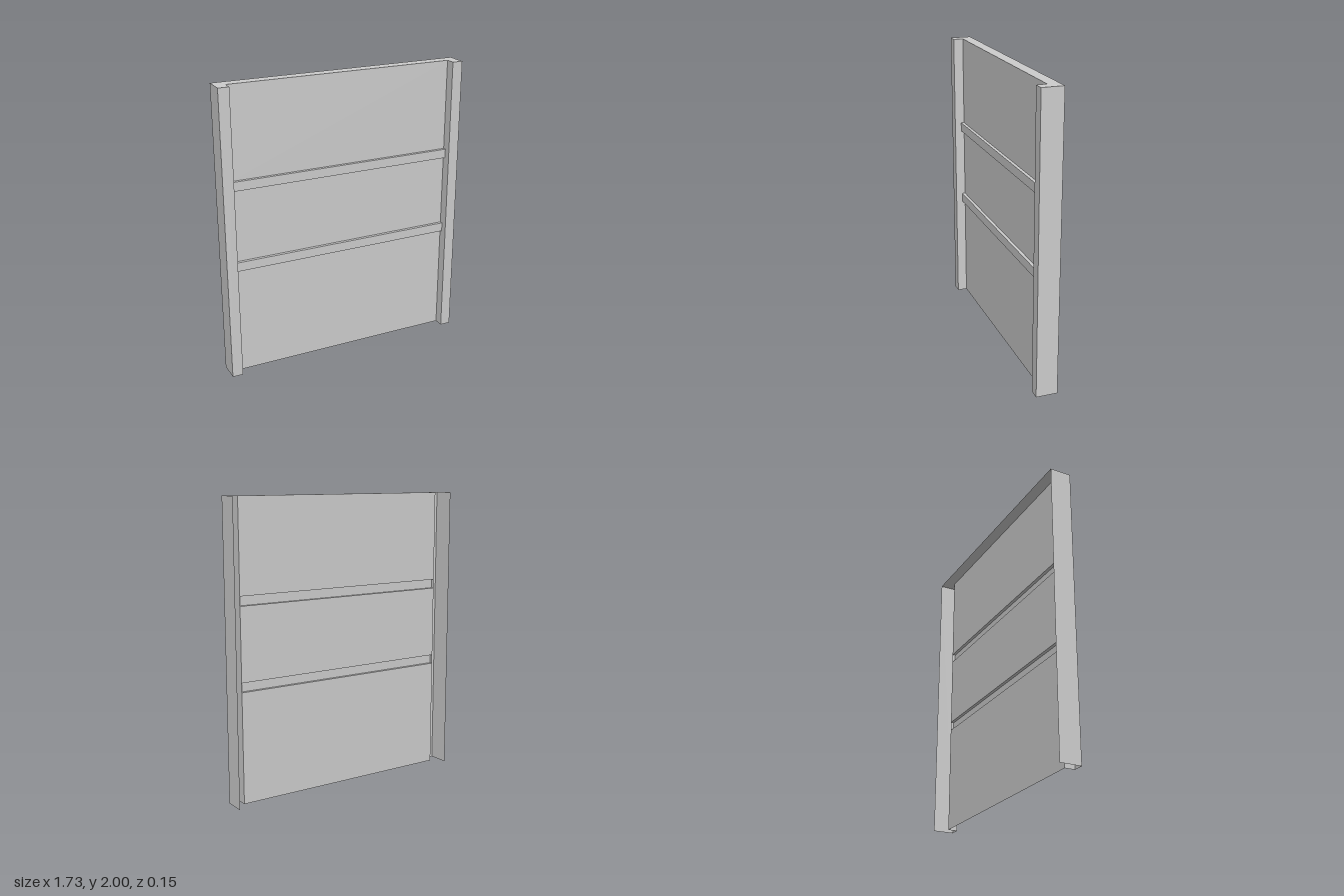
import * as THREE from 'three';

const HEIGHT = 2, OUTER = 0.866, INNER = 0.792;
const BACK = -0.073, FRONT = 0.073, PANEL = 0.005, RIB = 0.027;
const RIBS = [[0.752, 0.815], [1.312, 1.375]]; // bottom and top of each rib

const material = new THREE.MeshStandardMaterial({
  color: 0xcccccc, flatShading: true, side: THREE.DoubleSide,
});

// Folded sheet: sweeps an open profile straight along the line from a to b
function foldedSheet(name, profile, place, a, b) {
  const positions = [];
  for (let i = 0; i < profile.length - 1; i++) {
    const p = place(profile[i], a), q = place(profile[i + 1], a);
    const r = place(profile[i + 1], b), s = place(profile[i], b);
    positions.push(...p, ...q, ...r, ...p, ...r, ...s);
  }
  const geometry = new THREE.BufferGeometry();
  geometry.setAttribute('position', new THREE.Float32BufferAttribute(positions, 3));
  geometry.computeVertexNormals();
  const mesh = new THREE.Mesh(geometry, material);
  mesh.name = name;
  return mesh;
}

export function createModel() {
  const group = new THREE.Group();
  group.name = 'ribbedPanel';

  // Front sheet with two pressed ribs, open behind; profile in [y, z]
  const face = [[0, PANEL]];
  for (const [low, high] of RIBS) {
    face.push([low, PANEL], [low, RIB], [high, RIB], [high, PANEL]);
  }
  face.push([HEIGHT, PANEL]);
  group.add(foldedSheet('frontSheet', face, ([y, z], x) => [x, y, z], -INNER, INNER));

  // Side posts: folded channels, open behind and below; profile in [x, z]
  for (const [side, name] of [[1, 'leftPost'], [-1, 'rightPost']]) {
    const post = [[OUTER, BACK], [OUTER, FRONT], [INNER, FRONT], [INNER, PANEL]]
      .map(([x, z]) => [side * x, z]);
    // Run direction is swapped per side so the folds face outward
    const [a, b] = side > 0 ? [HEIGHT, 0] : [0, HEIGHT];
    group.add(foldedSheet(name, post, ([x, z], y) => [x, y, z], a, b));
  }

  // Top flange follows the plan outline
  const outline = [
    [-OUTER, BACK], [OUTER, BACK], [OUTER, FRONT], [INNER, FRONT],
    [INNER, PANEL], [-INNER, PANEL], [-INNER, FRONT], [-OUTER, FRONT],
  ].map(([x, z]) => new THREE.Vector2(x, -z));
  const top = new THREE.Mesh(new THREE.ShapeGeometry(new THREE.Shape(outline)), material);
  top.name = 'topFlange';
  top.rotation.x = -Math.PI / 2;
  top.position.y = HEIGHT;
  group.add(top);

  return group;
}
